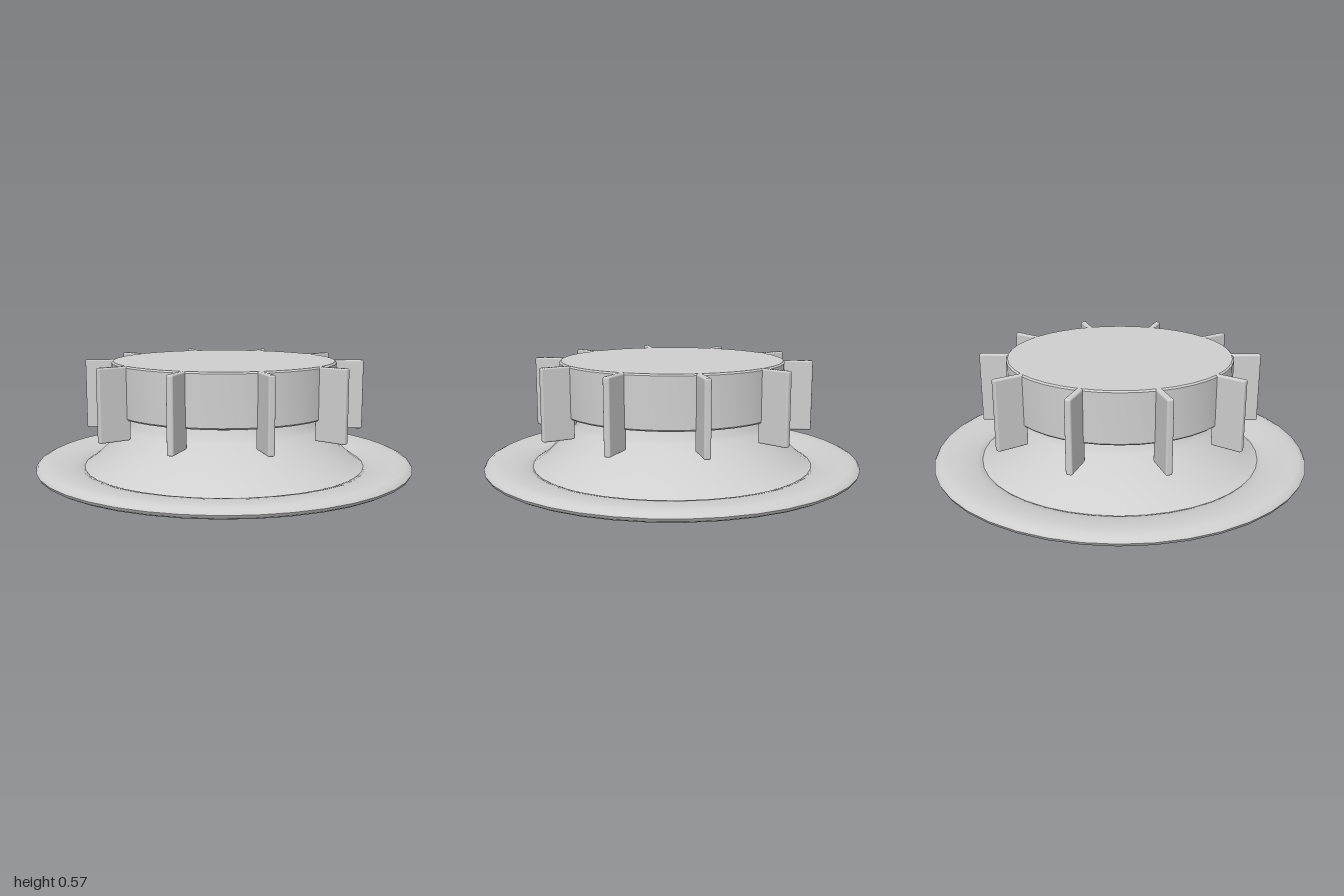
import * as THREE from 'three';
import { toCreasedNormals } from 'three/addons/utils/BufferGeometryUtils.js';
import { RoundedBoxGeometry } from 'three/addons/geometries/RoundedBoxGeometry.js';

const SEGMENTS = 40;

// Revolves a profile of [radius, height] pairs, listed counter-clockwise
function turned(name, profile, material, crease = 0.6) {
  const points = profile.map(([r, y]) => new THREE.Vector2(r, y));
  const geometry = toCreasedNormals(new THREE.LatheGeometry(points, SEGMENTS), crease);
  const mesh = new THREE.Mesh(geometry, material);
  mesh.name = name;
  return mesh;
}

export function createModel() {
  const model = new THREE.Group();
  model.name = 'finnedCap';
  const grey = new THREE.MeshStandardMaterial({ color: 0xcfcfcf });
  grey.name = 'light grey';

  // Flat rounded ring around the foot
  model.add(turned('flange', [
    [0.745, 0.018], [0.765, 0.008], [0.8, 0.002], [0.86, 0], [0.975, 0], [0.993, 0.01],
    [1, 0.025], [0.99, 0.04], [0.965, 0.052], [0.92, 0.055], [0.87, 0.053],
    [0.82, 0.046], [0.78, 0.036], [0.755, 0.026], [0.745, 0.018],
  ], grey, 0.9));

  // Hollow sloping skirt, closed at the top
  model.add(turned('skirt', [
    [0, 0.24], [0.473, 0.24], [0.7, 0.038], [0.745, 0.008], [0.765, 0.012],
    [0.745, 0.022], [0.685, 0.064], [0.52, 0.225], [0.505, 0.25], [0.49, 0.285], [0, 0.285],
  ], grey));

  // Thick disc held just above the skirt
  model.add(turned('topDisc', [
    [0, 0.305], [0.588, 0.305], [0.596, 0.313], [0.596, 0.567], [0.588, 0.575], [0, 0.575],
  ], grey));

  // Ten radial fins
  const inner = 0.573, outer = 0.742, bottom = 0.205, top = 0.575;
  const finGeometry = new RoundedBoxGeometry(outer - inner, top - bottom, 0.034, 2, 0.009);
  finGeometry.translate((inner + outer) / 2, (bottom + top) / 2, 0);
  for (let i = 0; i < 10; i++) {
    const fin = new THREE.Mesh(finGeometry, grey);
    fin.name = `fin${i + 1}`;
    fin.rotation.y = (i * Math.PI) / 5;
    model.add(fin);
  }
  return model;
}
